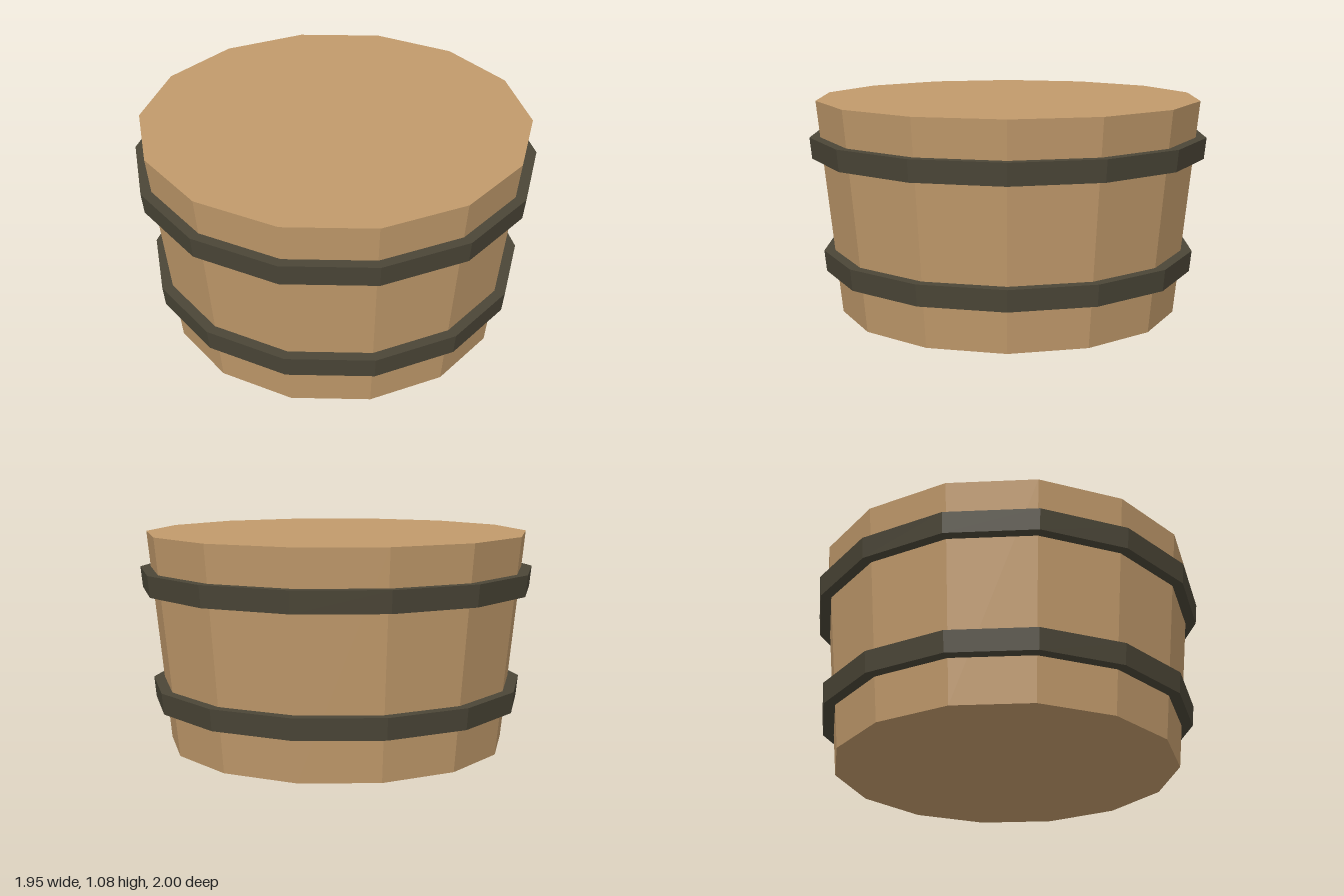
import * as THREE from 'three';

const SIDES = 14;
const HEIGHT = 1.075;
const BOTTOM_RADIUS = 0.858;
const TOP_RADIUS = 0.965;

export function createModel() {
  const group = new THREE.Group();
  group.name = 'tub';

  const wood = new THREE.MeshStandardMaterial({ color: 0xc19a6b, flatShading: true });
  wood.name = 'wood';
  const iron = new THREE.MeshStandardMaterial({ color: 0x4b4637, flatShading: true });
  iron.name = 'dark iron';

  // Tapered section between two heights, standing out from the wall by an offset
  const radiusAt = (y) => THREE.MathUtils.lerp(BOTTOM_RADIUS, TOP_RADIUS, y / HEIGHT);
  function addSection(name, y0, y1, offset, material) {
    const geometry = new THREE.CylinderGeometry(
      radiusAt(y1) + offset, radiusAt(y0) + offset, y1 - y0, SIDES);
    const mesh = new THREE.Mesh(geometry, material);
    mesh.name = name;
    mesh.position.y = (y0 + y1) / 2;
    group.add(mesh);
  }

  // Wooden body with closed top and bottom
  addSection('body', 0, HEIGHT, 0, wood);

  // Two hoops around the body
  addSection('lowerHoop', 0.217, 0.322, 0.055, iron);
  addSection('upperHoop', 0.79, 0.895, 0.053, iron);

  return group;
}
